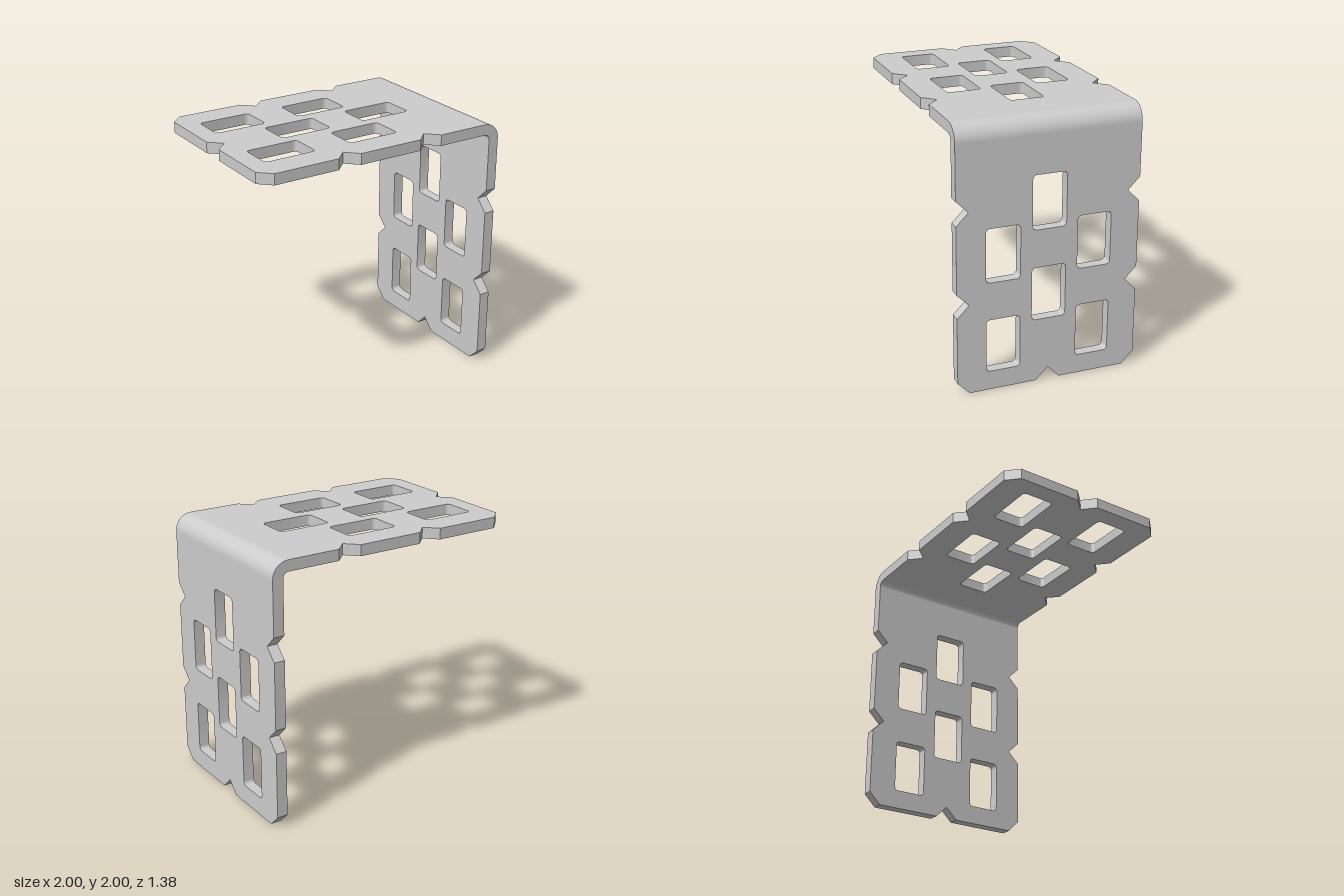
import * as THREE from 'three';
import { toCreasedNormals } from 'three/addons/utils/BufferGeometryUtils.js';

const T = 0.083;      // sheet thickness
const HALF = 0.69;    // half width of the sheet
const R = 0.125;      // outer bend radius
const LEN = 2 - R;    // flat length of each leg
const N = 0.091;      // notch depth, notch half width and corner chamfer

const extrude = (shape, depth) => toCreasedNormals(
  new THREE.ExtrudeGeometry(shape, { depth, bevelEnabled: false, curveSegments: 16 }), 0.5);

// Rectangular window with rounded corners, centred on (cx, cy)
function windowPath(cx, cy, w = 0.257, h = 0.405, r = 0.03) {
  const p = new THREE.Path();
  const x = w / 2 - r, y = h / 2 - r;
  [[x, y], [-x, y], [-x, -y], [x, -y]].forEach(([dx, dy], i) =>
    p.absarc(cx + dx, cy + dy, r, i * Math.PI / 2, (i + 1) * Math.PI / 2, false));
  p.closePath();
  return p;
}

// Flat leg: x runs across the sheet, y from the free end to the bend
function legShape() {
  const side = [[N, 0], [HALF - N, 0], [HALF, N]];
  for (const y of [0.69, 1.38]) side.push([HALF, y - N], [HALF - N, y], [HALF, y + N]);
  side.push([HALF, LEN]);
  const mirrored = side.map(([x, y]) => [-x, y]).reverse();
  const outline = [[0, N], ...side, ...mirrored].map(([x, y]) => new THREE.Vector2(x, y));
  const shape = new THREE.Shape(outline);

  // Staggered windows
  for (const y of [0.347, 1.037]) {
    shape.holes.push(windowPath(-0.345, y), windowPath(0.345, y), windowPath(0, y + 0.345));
  }
  return shape;
}

export function createModel() {
  const group = new THREE.Group();
  group.name = 'perforatedAngleBracket';
  const material = new THREE.MeshStandardMaterial({ color: 0xcccccc });
  const add = (name, geometry) => {
    const mesh = new THREE.Mesh(geometry, material);
    mesh.name = name;
    group.add(mesh);
    return mesh;
  };
  const leg = extrude(legShape(), T);

  // Upright leg on the +x side
  const upright = add('verticalLeg', leg);
  upright.rotation.y = Math.PI / 2;
  upright.position.x = 1 - T;

  // Horizontal leg along the top
  const X = new THREE.Vector3(1, 0, 0), Y = new THREE.Vector3(0, 1, 0), Z = new THREE.Vector3(0, 0, 1);
  const top = add('horizontalLeg', leg);
  top.quaternion.setFromRotationMatrix(new THREE.Matrix4().makeBasis(Z, X, Y));
  top.position.set(-1, 2 - T, 0);

  // Quarter-round bend joining the legs
  const arc = new THREE.Shape();
  arc.absarc(0, 0, R, 0, Math.PI / 2, false);
  arc.absarc(0, 0, R - T, Math.PI / 2, 0, true);
  arc.closePath();
  add('bend', extrude(arc, 2 * HALF)).position.set(1 - R, 2 - R, -HALF);

  return group;
}
